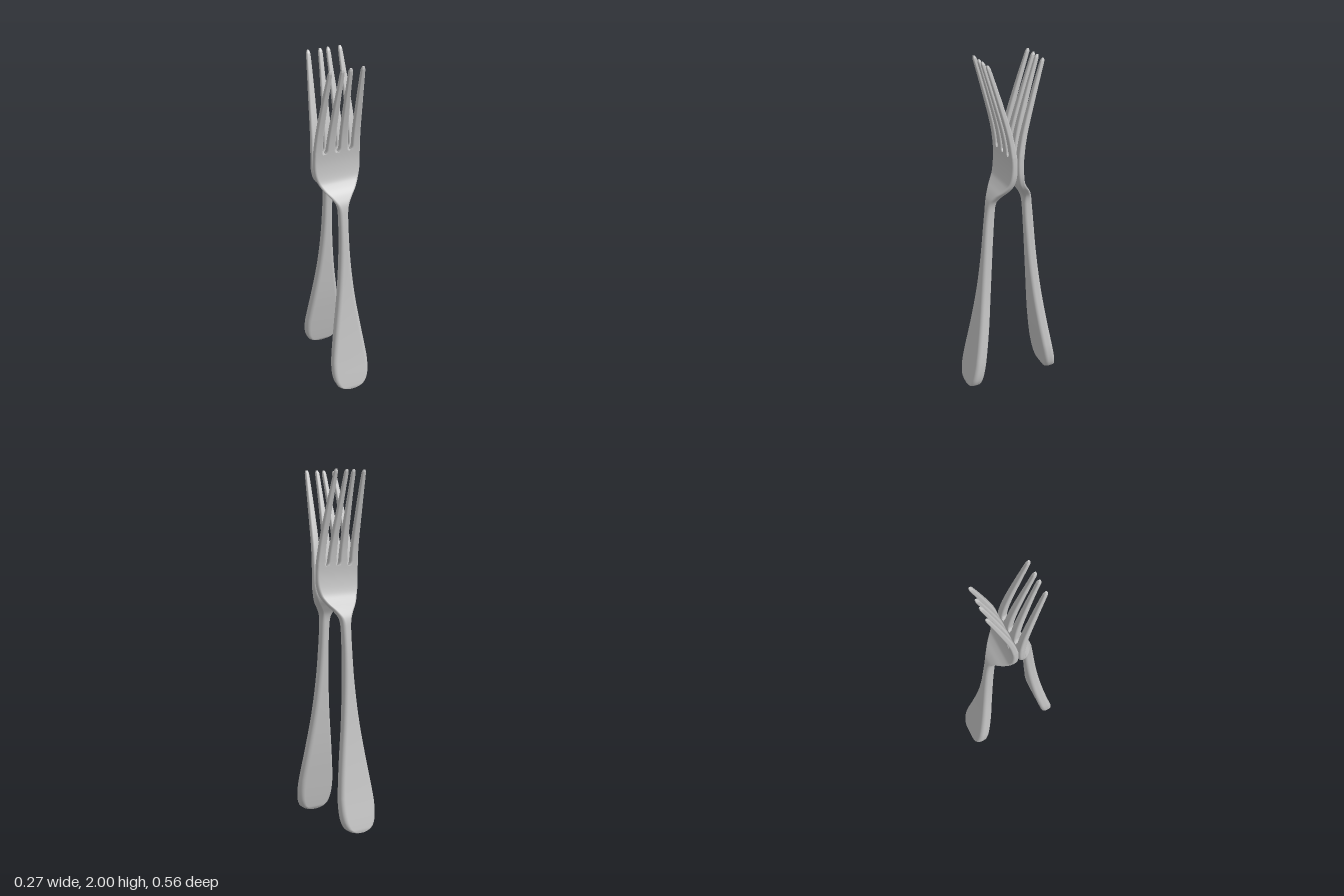
import * as THREE from 'three';

// Smooth interpolation of table rows [y, ...values] at height y
function sample(rows, y) {
  let i = 0;
  while (i < rows.length - 2 && y > rows[i + 1][0]) i++;
  const a = rows[i], b = rows[i + 1], h = b[0] - a[0], t = (y - a[0]) / h;
  const slope = (j, k) => {
    const p = rows[Math.max(j - 1, 0)], q = rows[Math.min(j + 1, rows.length - 1)];
    return (q[k] - p[k]) / (q[0] - p[0]);
  };
  return a.map((v, k) => k === 0 ? y :
    (2 * t ** 3 - 3 * t * t + 1) * v + (t ** 3 - 2 * t * t + t) * h * slope(i, k) +
    (3 * t * t - 2 * t ** 3) * b[k] + (t ** 3 - t * t) * h * slope(i + 1, k));
}

// Rounded-rectangle outline for a row [y, x0, x1, z0, z1]
function section([y, x0, x1, z0, z1], roundness) {
  const pts = [], steps = 6;
  const r = roundness * Math.min(x1 - x0, z1 - z0) / 2;
  const corners = [[x1 - r, z1 - r], [x0 + r, z1 - r], [x0 + r, z0 + r], [x1 - r, z0 + r]];
  corners.forEach(([cx, cz], c) => {
    for (let s = 0; s <= steps; s++) {
      const a = (c + s / steps) * Math.PI / 2;
      pts.push([cx + r * Math.cos(a), y, cz + r * Math.sin(a)]);
    }
  });
  return pts;
}

// Skin stacked sections and close both ends with sharp caps
function loft(rows, roundness) {
  const rings = rows.map(r => section(r, roundness));
  const n = rings[0].length, pos = rings.flat(2), idx = [];
  for (let i = 0; i < rings.length - 1; i++) {
    for (let j = 0; j < n; j++) {
      const a = i * n + j, b = i * n + (j + 1) % n;
      idx.push(a, a + n, b, b, a + n, b + n);
    }
  }
  [rings[0], rings[rings.length - 1]].forEach((ring, top) => {
    const base = pos.length / 3, r = rows[top ? rows.length - 1 : 0];
    pos.push((r[1] + r[2]) / 2, r[0], (r[3] + r[4]) / 2, ...ring.flat());
    for (let j = 0; j < n; j++) {
      const a = base + 1 + j, b = base + 1 + (j + 1) % n;
      if (top) idx.push(base, b, a); else idx.push(base, a, b);
    }
  });
  const g = new THREE.BufferGeometry();
  g.setAttribute('position', new THREE.Float32BufferAttribute(pos, 3));
  g.setIndex(idx);
  g.computeVertexNormals();
  return g;
}

// Side profile: height, inner z, outer z
const SIDE = [
  [0, 0.222, 0.28], [0.02, 0.212, 0.281], [0.2, 0.18, 0.248], [0.4, 0.15, 0.216],
  [0.6, 0.128, 0.19], [0.8, 0.11, 0.17], [1.0, 0.096, 0.153], [1.12, 0.088, 0.141],
  [1.19, 0.079, 0.13], [1.24, 0.052, 0.103], [1.28, 0.027, 0.073], [1.32, 0.01, 0.05],
  [1.4, 0.001, 0.037], [1.48, 0.004, 0.039], [1.6, 0.025, 0.057], [1.8, 0.082, 0.109],
  [2.0, 0.145, 0.166],
];
// Front profile: height, half width
const WIDTH = [
  [0, 0.03], [0.004, 0.05], [0.012, 0.068], [0.03, 0.088], [0.07, 0.104], [0.13, 0.11],
  [0.2, 0.107], [0.4, 0.08], [0.6, 0.053], [0.8, 0.035], [1.0, 0.026], [1.14, 0.027],
  [1.19, 0.036], [1.23, 0.062], [1.27, 0.096], [1.31, 0.118], [1.36, 0.131],
  [1.42, 0.134], [1.475, 0.133],
];
// Tines: height, near edge, far edge
const TINES = {
  innerTine: [[1.465, 0, 0.073], [1.475, 0.003, 0.07], [1.485, 0.009, 0.064], [1.5, 0.012, 0.061],
    [1.7, 0.012, 0.049], [1.9, 0.012, 0.037], [1.985, 0.012, 0.033], [2.0, 0.017, 0.028]],
  outerTine: [[1.465, 0.073, 0.133], [1.475, 0.076, 0.133], [1.485, 0.082, 0.133], [1.5, 0.085, 0.132],
    [1.7, 0.083, 0.121], [1.9, 0.08, 0.107], [1.985, 0.08, 0.1], [2.0, 0.084, 0.096]],
};

// Subdivide heights between the rows of a table
function heights(table, per) {
  const ys = [];
  for (let i = 0; i < table.length - 1; i++)
    for (let s = 0; s < per; s++)
      ys.push(THREE.MathUtils.lerp(table[i][0], table[i + 1][0], s / per));
  ys.push(table[table.length - 1][0]);
  return ys;
}

function makeFork(material) {
  const fork = new THREE.Group();
  const add = (name, rows, roundness) => {
    const mesh = new THREE.Mesh(loft(rows, roundness), material);
    mesh.name = name;
    fork.add(mesh);
  };

  // Handle, neck and palm in one sweep
  add('handleAndPalm', heights(WIDTH, 4).map(y => {
    const w = sample(WIDTH, y)[1], s = sample(SIDE, y);
    return [y, -w, w, s[1], s[2]];
  }), 0.7);

  // Four tapering tines, mirrored left and right
  for (const [name, table] of Object.entries(TINES)) {
    for (const side of [1, -1]) {
      add(name + (side > 0 ? 'Left' : 'Right'), heights(table, 4).map(y => {
        const t = sample(table, y), s = sample(SIDE, y);
        const tip = Math.max(0, (y - 1.985) / 0.015) * 0.005;
        return [y, side > 0 ? t[1] : -t[2], side > 0 ? t[2] : -t[1], s[1] + tip, s[2] - tip];
      }), 0.6);
    }
  }
  return fork;
}

export function createModel() {
  const model = new THREE.Group();
  model.name = 'forkPair';
  const steel = new THREE.MeshStandardMaterial({ color: 0xc4c4c4 });
  steel.name = 'steel';

  // Two forks standing back to back
  const front = makeFork(steel);
  front.name = 'frontFork';
  const back = makeFork(steel);
  back.name = 'backFork';
  back.rotation.y = Math.PI;
  model.add(front, back);
  return model;
}
